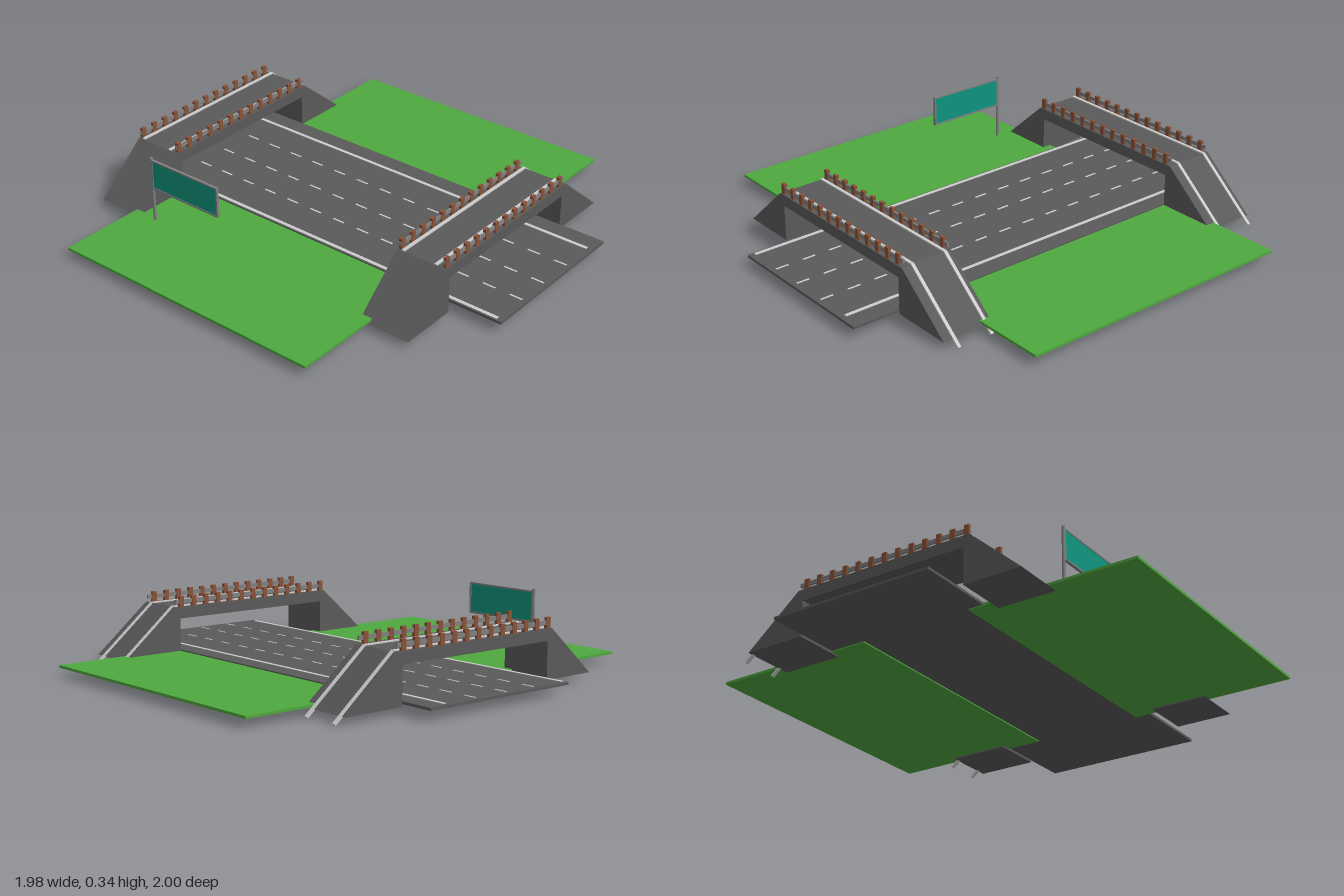
import * as THREE from 'three';

const mat = (color) => new THREE.MeshStandardMaterial({ color });
const concrete = mat(0x5a5a5a);
const white = mat(0xcccccc);
const grass = mat(0x4fa83f);
const metal = mat(0x808080);
const wood = mat(0x8a5238);
const teal = mat(0x10957f);

// Box given by its minimum and maximum corners
function box(parent, name, material, [x0, y0, z0], [x1, y1, z1]) {
  const mesh = new THREE.Mesh(new THREE.BoxGeometry(x1 - x0, y1 - y0, z1 - z0), material);
  mesh.position.set((x0 + x1) / 2, (y0 + y1) / 2, (z0 + z1) / 2);
  mesh.name = name;
  parent.add(mesh);
  return mesh;
}

function createRoad() {
  const road = new THREE.Group();
  road.name = 'road';
  box(road, 'roadSlab', concrete, [-0.32, 0.041, -1], [0.415, 0.052, 1]);
  // Solid edge lines
  for (const x of [-0.305, 0.327]) {
    box(road, 'edgeLine', white, [x - 0.008, 0.05, -0.98], [x + 0.008, 0.054, 0.975]);
  }
  // Dashed lane lines
  for (const x of [-0.145, 0.004, 0.168]) {
    for (let i = 0; i < 16; i++) {
      const z = 0.95 - i * 0.1265;
      box(road, 'laneDash', white, [x - 0.004, 0.05, z - 0.029], [x + 0.004, 0.054, z + 0.029]);
    }
  }
  return road;
}

function createBridge(z) {
  const bridge = new THREE.Group();
  bridge.name = 'bridge';
  bridge.position.z = z;
  const half = 0.115;

  // Deck with sloping abutments, one extruded outline
  const outline = new THREE.Shape([
    [-0.62, 0.03], [-0.365, 0.03], [-0.365, 0.187], [0.413, 0.187],
    [0.413, 0.03], [0.685, 0.03], [0.437, 0.236], [-0.39, 0.236],
  ].map(([x, y]) => new THREE.Vector2(x, y)));
  const body = new THREE.ExtrudeGeometry(outline, { depth: 2 * half, bevelEnabled: false });
  body.translate(0, 0, -half);
  const span = new THREE.Mesh(body, concrete);
  span.name = 'bridgeSpan';
  bridge.add(span);

  // Track rails along the deck, running on down the left slope
  const start = new THREE.Vector2(0.437, 0.236);
  const end = new THREE.Vector2(0.717, 0.004);
  const run = end.clone().sub(start);
  for (const rz of [0.067, -0.088]) {
    box(bridge, 'deckRail', white, [-0.39, 0.232, rz - 0.007], [0.44, 0.241, rz + 0.007]);
    const slope = new THREE.Mesh(new THREE.BoxGeometry(run.length(), 0.01, 0.014), white);
    slope.name = 'slopeRail';
    slope.position.set((start.x + end.x) / 2, (start.y + end.y) / 2, rz);
    slope.rotation.z = run.angle();
    bridge.add(slope);
  }

  // Fences: wooden posts joined by a grey beam
  for (const fz of [-0.105, 0.104]) {
    box(bridge, 'fenceBeam', metal, [-0.388, 0.251, fz - 0.004], [0.434, 0.268, fz + 0.004]);
    for (let i = 0; i < 13; i++) {
      const x = -0.373 + i * 0.0645;
      box(bridge, 'fencePost', wood, [x - 0.011, 0.234, fz - 0.007], [x + 0.011, 0.281, fz + 0.007]);
    }
  }
  return bridge;
}

function createSign() {
  const sign = new THREE.Group();
  sign.name = 'roadSign';
  const x = -0.61;
  const post = new THREE.Mesh(new THREE.CylinderGeometry(0.007, 0.007, 0.305, 12), metal);
  post.name = 'signPost';
  post.position.set(x, 0.1875, -0.542);
  sign.add(post);
  box(sign, 'signPanel', teal, [x - 0.003, 0.203, -0.535], [x + 0.003, 0.327, -0.178]);
  // Frame around the panel
  for (const y of [0.197, 0.325]) {
    box(sign, 'signFrame', metal, [x - 0.006, y, -0.542], [x + 0.006, y + 0.007, -0.173]);
  }
  for (const z of [-0.54, -0.18]) {
    box(sign, 'signFrame', metal, [x - 0.006, 0.197, z], [x + 0.006, 0.332, z + 0.007]);
  }
  return sign;
}

export function createModel() {
  const model = new THREE.Group();
  model.name = 'highwayWithBridges';
  model.add(createRoad());
  // Grass on each side, tucked under the road
  box(model, 'rightGrass', grass, [-0.99, 0.036, -0.657], [-0.255, 0.047, 0.605]);
  box(model, 'leftGrass', grass, [0.25, 0.036, -0.657], [0.985, 0.047, 0.605]);
  model.add(createBridge(0.674), createBridge(-0.731));
  model.add(createSign());
  return model;
}
